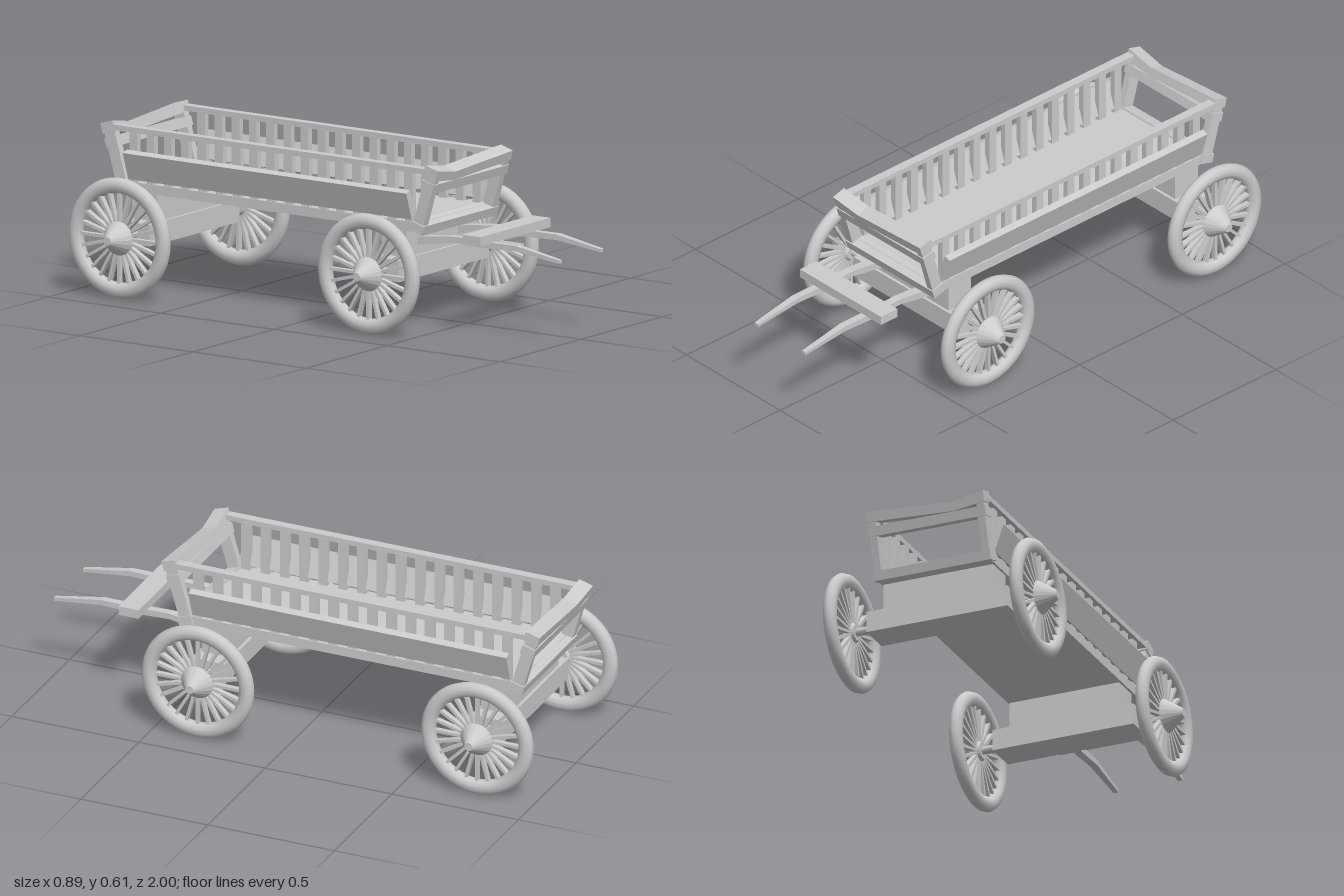
import * as THREE from 'three';

const material = new THREE.MeshStandardMaterial({ color: 0xcccccc });
const flat = new THREE.MeshStandardMaterial({ color: 0xcccccc, flatShading: true });
const BODY_Z = -0.215; // middle of the wagon bed
const AXLES = { front: 0.325, rear: -0.778 };
const AXLE_Y = 0.224;

function add(parent, name, geometry, x = 0, y = 0, z = 0, mat = material) {
  const mesh = new THREE.Mesh(geometry, mat);
  mesh.name = name;
  mesh.position.set(x, y, z);
  parent.add(mesh);
  return mesh;
}

const box = (parent, name, w, h, d, x, y, z) =>
  add(parent, name, new THREE.BoxGeometry(w, h, d), x, y, z);

// Wheel with its axis along x; side = +1 puts the hub cap on +x
function makeWheel(name, side) {
  const wheel = new THREE.Group();
  wheel.name = name;
  const rim = add(wheel, 'rim', new THREE.TorusGeometry(0.192, 0.029, 10, 48));
  rim.scale.z = 0.84;
  rim.rotation.y = Math.PI / 2;
  const profile = [[0, -0.02], [0.03, -0.02], [0.045, 0], [0.064, 0.008], [0.016, 0.078], [0, 0.078]]
    .map(([r, h]) => new THREE.Vector2(r, h));
  const hub = add(wheel, 'hub', new THREE.LatheGeometry(profile, 20), 0, 0, 0, flat);
  hub.rotation.z = -side * Math.PI / 2;
  const spokeGeometry = new THREE.BoxGeometry(0.02, 0.16, 0.011).translate(0, 0.1, 0);
  for (let i = 0; i < 24; i++) {
    add(wheel, 'spoke', spokeGeometry).rotation.x = (i / 24) * Math.PI * 2;
  }
  return wheel;
}

// Axle, beam, bolster and a pair of wheels
function makeRunningGear(name, z) {
  const gear = new THREE.Group();
  gear.name = name;
  gear.position.z = z;
  const axle = add(gear, 'axle', new THREE.CylinderGeometry(0.015, 0.015, 0.74, 14), 0, AXLE_Y, 0);
  axle.rotation.z = Math.PI / 2;
  box(gear, 'axleBeam', 0.555, 0.08, 0.132, 0.002, 0.225, 0);
  box(gear, 'bolster', 0.432, 0.105, 0.11, 0.002, 0.317, 0);
  for (const side of [1, -1]) {
    const wheel = makeWheel(side > 0 ? 'leftWheel' : 'rightWheel', side);
    wheel.position.set(side * 0.367, AXLE_Y, 0);
    gear.add(wheel);
  }
  return gear;
}

// Outward leaning end frame; dir = +1 front, -1 rear
function makeEnd(name, dir) {
  const end = new THREE.Group();
  end.name = name;
  end.position.set(0, 0.395, BODY_Z + dir * 0.658);
  end.rotation.x = dir * 0.28;
  for (const side of [1, -1]) box(end, 'endPost', 0.028, 0.218, 0.046, side * 0.213, 0.107, 0);
  box(end, 'endSill', 0.464, 0.035, 0.055, 0, -0.0145, 0);
  box(end, 'endPlank', 0.464, 0.036, 0.053, 0, 0.148, 0);
  // Crooked top board
  const outline = [[-0.232, 0.182], [-0.108, 0.167], [0.232, 0.185], [0.232, 0.223], [-0.108, 0.201], [-0.232, 0.223]];
  const shape = new THREE.Shape(outline.map(([x, y]) => new THREE.Vector2(x, y)));
  const board = new THREE.ExtrudeGeometry(shape, { depth: 0.056, bevelEnabled: false }).translate(0, 0, -0.028);
  add(end, 'topBoard', board);
  return end;
}

// Tapered draft shaft lofted through square sections: z, y, half width, half height
function makeShaftGeometry() {
  const sections = [
    [0.33, 0.3, 0.023, 0.014], [0.41, 0.32, 0.021, 0.014], [0.54, 0.337, 0.016, 0.011],
    [0.67, 0.333, 0.015, 0.012], [0.81, 0.336, 0.014, 0.01], [1.0, 0.308, 0.009, 0.006],
  ];
  const positions = [];
  const index = [];
  sections.forEach(([z, y, w, h], i) => {
    positions.push(-w, y - h, z, w, y - h, z, w, y + h, z, -w, y + h, z);
    if (i === 0) return;
    for (let k = 0; k < 4; k++) {
      const a = (i - 1) * 4 + k, b = (i - 1) * 4 + (k + 1) % 4;
      index.push(a, b, b + 4, a, b + 4, a + 4);
    }
  });
  const e = (sections.length - 1) * 4;
  index.push(0, 2, 1, 0, 3, 2, e, e + 1, e + 2, e, e + 2, e + 3);
  const geometry = new THREE.BufferGeometry();
  geometry.setAttribute('position', new THREE.Float32BufferAttribute(positions, 3));
  geometry.setIndex(index);
  geometry.computeVertexNormals();
  return geometry;
}

export function createModel() {
  const wagon = new THREE.Group();
  wagon.name = 'wagon';

  // Bed
  const bed = new THREE.Group();
  bed.name = 'bed';
  wagon.add(bed);
  box(bed, 'floor', 0.446, 0.035, 1.31, 0, 0.3825, BODY_Z);
  bed.add(makeEnd('frontEnd', 1), makeEnd('rearEnd', -1));

  // Slatted sides with a top rail and an outward leaning plank
  for (const side of [1, -1]) {
    const wall = new THREE.Group();
    wall.name = side > 0 ? 'leftSide' : 'rightSide';
    bed.add(wall);
    box(wall, 'topRail', 0.034, 0.02, 1.42, side * 0.216, 0.593, BODY_Z);
    const plank = box(wall, 'sidePlank', 0.027, 0.107, 1.255, side * 0.23, 0.464, BODY_Z);
    plank.rotation.z = -side * 0.33;
    for (let i = 0; i < 17; i++) {
      box(wall, 'slat', 0.022, 0.2, 0.034, side * 0.209, 0.49, BODY_Z + (i - 8) * 0.0762);
    }
  }

  // Wheels and axles
  wagon.add(makeRunningGear('frontGear', AXLES.front), makeRunningGear('rearGear', AXLES.rear));

  // Draft shafts and their crossbar
  const hitch = new THREE.Group();
  hitch.name = 'hitch';
  wagon.add(hitch);
  const shaftGeometry = makeShaftGeometry();
  for (const side of [1, -1]) add(hitch, 'shaft', shaftGeometry, side * 0.127, 0, 0, flat);
  box(hitch, 'crossbar', 0.432, 0.034, 0.08, 0.002, 0.361, 0.668);

  return wagon;
}
